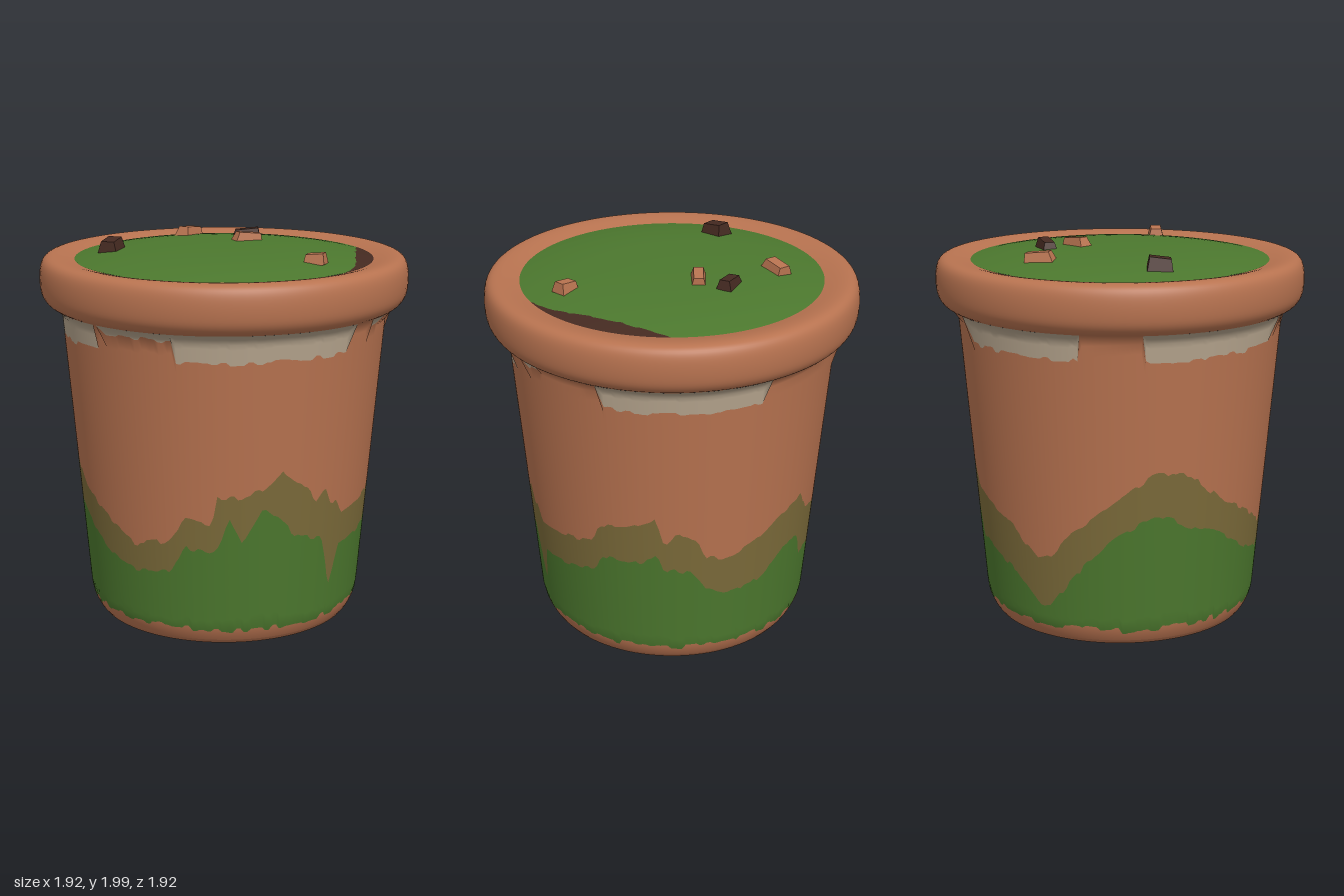
import * as THREE from 'three';

const mat = (name, color, side = THREE.FrontSide) => {
  const m = new THREE.MeshStandardMaterial({ color, side });
  m.name = name;
  return m;
};

// Moss outline around the pot: [degrees from front, green top, olive top]
const MOSS = [
  [0, .56, .77], [4, .55, .83], [8, .38, .72], [10, .26, .73], [15, .47, .65], [27, .5, .67],
  [40, .52, .7], [46, .55, .72], [49, .64, .82], [60, .62, .85], [71, .68, .92], [74, .6, .73],
  [79, .6, .84], [86, .57, .77], [90, .48, .68], [98, .43, .65], [112, .45, .72], [121, .52, .8],
  [128, .6, .83], [136, .58, .84], [141, .45, .72], [155, .42, .68], [168, .35, .6], [180, .2, .45],
  [186, .22, .48], [195, .38, .62], [212, .62, .8], [227, .73, .95], [240, .65, .92], [255, .58, .75],
  [275, .42, .62], [287, .38, .53], [302, .42, .58], [309, .55, .7], [319, .52, .67], [321, .55, .82],
  [325, .72, .82], [330, .57, .83], [338, .76, .86], [345, .68, .95], [353, .58, .87], [360, .56, .77],
];
// Lime deposits under the rim: [start degrees, end degrees, lower edge]
const LIME = [[-80, -54, 1.62], [-54, 10, 1.515], [20, 28, 1.605], [54, 109, 1.525], [152, 200, 1.525], [222, 277, 1.52]];

const SEGMENTS = 240, WALL_TOP = 1.66, FOOT = 0.035, SOIL_R = 0.775;

// Repeatable noise in -1..1, constant over steps of three degrees
const noise = (deg, seed) => {
  const s = Math.sin((Math.round(deg / 3) % 120) * 12.9898 + seed * 78.233) * 43758.5453;
  return (s - Math.floor(s)) * 2 - 1;
};
const mossTop = (deg, column) => {
  const i = Math.max(1, MOSS.findIndex((k) => k[0] >= deg));
  const [p, q] = [MOSS[i - 1], MOSS[i]];
  return THREE.MathUtils.lerp(p[column], q[column], (deg - p[0]) / (q[0] - p[0])) + 0.015 * noise(deg, column);
};
const greenTop = (deg) => mossTop(deg, 1);
const oliveTop = (deg) => Math.max(mossTop(deg, 2), greenTop(deg) + 0.02);
const greenBottom = (deg) => 0.1 + 0.02 * noise(deg, 5);
const limeBottom = (deg) => {
  const hit = LIME.find(([a, b]) => (deg >= a && deg <= b) || (deg - 360 >= a && deg - 360 <= b));
  return hit ? hit[2] + 0.012 * noise(deg, 7) : WALL_TOP;
};
// Bare soil crescent on one side of the moss cushion
const soilEdge = (deg) => {
  const t = (deg - 14) / 62;
  return t > 0 && t < 1 ? 0.088 * Math.sin(Math.PI * t ** 1.3) + 0.006 * (1 + noise(deg, 9)) : 0;
};

// Profiles return [radius, height]
const wall = (y) => {
  const foot = Math.max(0, (0.14 - y) / 0.14), cove = Math.max(0, (y - 1.6) / 0.06);
  return [0.712 + 0.083 * y - 0.05 * foot ** 2 + 0.04 * cove ** 2, y];
};
const cushion = (u) => {
  const r = SOIL_R - u;
  return [r, 1.893 + 0.058 * (1 - (r / SOIL_R) ** 3)];
};

// Revolved strip between two edges that vary with the angle
function strip(profile, low, high, rows) {
  const pos = [], nor = [], idx = [];
  for (let j = 0; j <= rows; j++) {
    for (let i = 0; i <= SEGMENTS; i++) {
      const deg = (i / SEGMENTS) * 360, a = THREE.MathUtils.degToRad(deg);
      const u = THREE.MathUtils.lerp(low(deg), high(deg), j / rows);
      const [r, y] = profile(u), [r0, y0] = profile(u - 1e-4), [r1, y1] = profile(u + 1e-4);
      const len = Math.hypot(r1 - r0, y1 - y0);
      const nr = (y1 - y0) / len, ny = (r0 - r1) / len;
      pos.push(r * Math.sin(a), y, r * Math.cos(a));
      nor.push(nr * Math.sin(a), ny, nr * Math.cos(a));
      if (i < SEGMENTS && j < rows) {
        const p = j * (SEGMENTS + 1) + i, q = p + SEGMENTS + 1;
        idx.push(p, p + 1, q, p + 1, q + 1, q);
      }
    }
  }
  const g = new THREE.BufferGeometry();
  g.setAttribute('position', new THREE.Float32BufferAttribute(pos, 3));
  g.setAttribute('normal', new THREE.Float32BufferAttribute(nor, 3));
  g.setIndex(idx);
  return g;
}

// Small box whose top is narrowed and skewed
function chipGeometry(w, h, d) {
  const g = new THREE.BoxGeometry(w, h, d);
  const p = g.attributes.position;
  for (let i = 0; i < p.count; i++) {
    if (p.getY(i) > 0) p.setXYZ(i, p.getX(i) * 0.82 + w * 0.05, p.getY(i), p.getZ(i) * 0.65);
  }
  g.computeVertexNormals();
  return g;
}

export function createModel() {
  const group = new THREE.Group();
  const terracotta = mat('terracotta', 0xb87350);
  const green = mat('mossGreen', 0x4c782e);
  const olive = mat('mossOlive', 0x7c6b3a);
  const lime = mat('limeDeposit', 0xb5a48d);
  const soil = mat('darkSoil', 0x452a21);
  const add = (name, geometry, material) => {
    const mesh = new THREE.Mesh(geometry, material);
    mesh.name = name;
    group.add(mesh);
    return mesh;
  };
  const V = (x, y) => new THREE.Vector2(x, y);

  // Pot wall, split along the stain outlines
  add('foot', strip(wall, () => FOOT, greenBottom, 4), terracotta);
  add('greenMoss', strip(wall, greenBottom, greenTop, 8), green);
  add('oliveMoss', strip(wall, greenTop, oliveTop, 2), olive);
  add('wall', strip(wall, oliveTop, limeBottom, 16), terracotta);
  add('limeStain', strip(wall, limeBottom, () => WALL_TOP, 6), lime);

  // Underside with a rounded edge
  const footR = wall(FOOT)[0];
  add('underside', new THREE.LatheGeometry(
    [V(0, 0), V(0.6, 0), V(0.645, 0.003), V(0.67, 0.013), V(footR, FOOT)], 96), terracotta);

  // Rolled rim
  const rimCurve = new THREE.SplineCurve([
    V(wall(WALL_TOP)[0], WALL_TOP), V(0.925, 1.683), V(0.95, 1.725), V(0.958, 1.79), V(0.953, 1.855),
    V(0.935, 1.895), V(0.9, 1.912), V(0.84, 1.908), V(0.76, 1.888)]);
  add('rim', new THREE.LatheGeometry(rimCurve.getPoints(32), 96), terracotta);

  // Domed moss and the soil showing at its edge
  add('soil', strip(cushion, () => 0, soilEdge, 2), soil);
  add('mossCushion', strip(cushion, soilEdge, () => SOIL_R, 12), green);

  // Loose chips: [x, z, width, height, depth, turn in degrees, tilt, material]
  const chips = [
    [-0.47, -0.35, 0.13, 0.07, 0.11, 35, 0.12, soil],
    [0.14, -0.51, 0.15, 0.055, 0.09, 20, -0.1, terracotta],
    [0.31, -0.22, 0.15, 0.05, 0.08, -38, 0.1, soil],
    [0.215, -0.085, 0.15, 0.05, 0.075, -13, -0.1, terracotta],
    [0.14, 0.57, 0.11, 0.055, 0.085, -55, 0.1, terracotta],
  ];
  for (const [x, z, w, h, d, turn, tilt, m] of chips) {
    const chip = add('chip', chipGeometry(w, h, d), m);
    chip.position.set(x, cushion(SOIL_R - Math.hypot(x, z))[1] + h * 0.3, z);
    chip.rotation.set(0, THREE.MathUtils.degToRad(turn), tilt);
  }
  return group;
}
